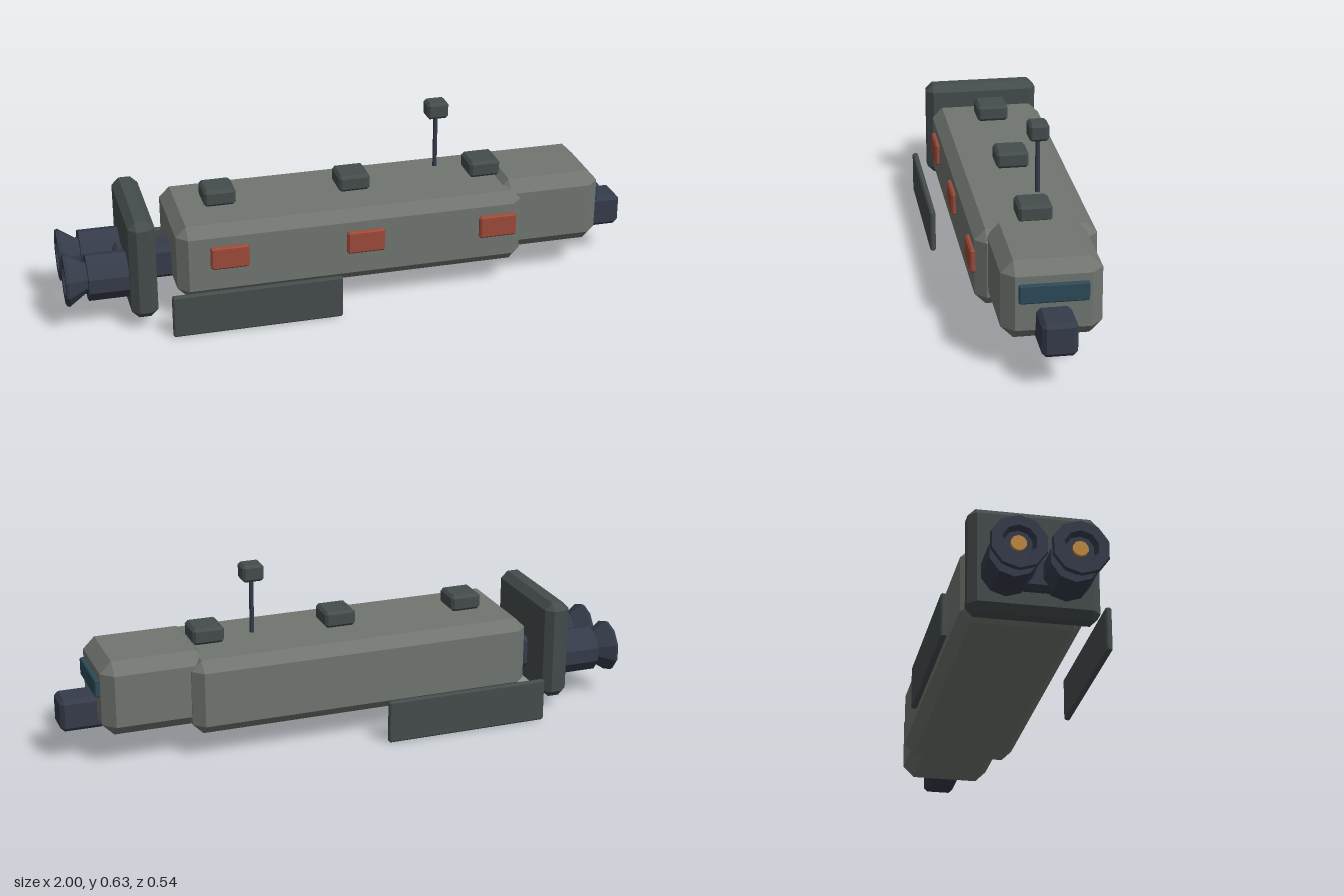
import * as THREE from 'three';
import { ConvexGeometry } from 'three/addons/geometries/ConvexGeometry.js';

const paint = (color) => new THREE.MeshStandardMaterial({ color, flatShading: true });
const HULL = paint(0x707570);
const DARK = paint(0x454c4c);
const STEEL = paint(0x353b4a);
const ORANGE = paint(0x9c4a38);
const GLASS = paint(0x2b4a57);
const GLOW = paint(0xc08a40);

// Box with chamfered edges, given its limits on each axis
function chamferBox(name, material, [x0, x1], [y0, y1], [z0, z1], bevel) {
  const half = [(x1 - x0) / 2, (y1 - y0) / 2, (z1 - z0) / 2];
  const points = [];
  for (const sx of [-1, 1]) for (const sy of [-1, 1]) for (const sz of [-1, 1]) {
    for (let axis = 0; axis < 3; axis++) {
      const p = half.map((h, i) => (i === axis ? h : h - bevel));
      points.push(new THREE.Vector3(sx * p[0], sy * p[1], sz * p[2]));
    }
  }
  const mesh = new THREE.Mesh(new ConvexGeometry(points), material);
  mesh.position.set((x0 + x1) / 2, (y0 + y1) / 2, (z0 + z1) / 2);
  mesh.name = name;
  return mesh;
}

// Ten-sided turned part whose axis runs toward the stern (-x)
function turned(name, material, profile) {
  const geometry = new THREE.LatheGeometry(profile.map(([r, d]) => new THREE.Vector2(r, d)), 10);
  geometry.rotateY(Math.PI / 2).rotateZ(Math.PI / 2);
  const mesh = new THREE.Mesh(geometry, material);
  mesh.name = name;
  return mesh;
}

function createEngine() {
  const engine = new THREE.Group();
  engine.name = 'engine';
  engine.add(
    turned('engineBody', STEEL, [[0, 0.78], [0.08, 0.78], [0.08, 0.925], [0, 0.925]]),
    turned('engineNozzle', STEEL, [[0.055, 0.91], [0.055, 0.935], [0.092, 0.99], [0.088, 1], [0.055, 1], [0.045, 0.98], [0, 0.98]]),
    turned('engineGlow', GLOW, [[0.025, 0.975], [0.025, 0.99], [0, 0.99]]),
  );
  return engine;
}

export function createModel() {
  const ship = new THREE.Group();
  ship.name = 'ship';

  // Hull, cabin and spine
  ship.add(
    chamferBox('mainHull', HULL, [-0.63, 0.58], [0.09, 0.352], [-0.2, 0.2], 0.036),
    chamferBox('cabin', HULL, [0.51, 0.877], [0.112, 0.373], [-0.16, 0.16], 0.04),
    chamferBox('cabinWindow', GLASS, [0.875, 0.893], [0.247, 0.309], [-0.11, 0.11], 0.004),
    chamferBox('nose', STEEL, [0.83, 1], [0.113, 0.226], [-0.056, 0.056], 0.014),
    chamferBox('rearSpine', STEEL, [-0.82, -0.58], [0.113, 0.226], [-0.056, 0.056], 0.014),
    chamferBox('rearBulkhead', DARK, [-0.79, -0.7], [0.045, 0.398], [-0.208, 0.208], 0.025),
  );

  // Roof boxes and the hatches on the front side
  for (const x of [-0.455, 0.015, 0.485]) {
    ship.add(
      chamferBox('roofBox', DARK, [x - 0.055, x + 0.055], [0.36, 0.418], [-0.056, 0.056], 0.01),
      chamferBox('sideHatch', ORANGE, [x - 0.066, x + 0.066], [0.203, 0.284], [0.195, 0.215], 0.006),
    );
  }

  // Side panels and twin engines
  for (const side of [-1, 1]) {
    const z = side * 0.262;
    ship.add(chamferBox('sidePanel', DARK, [-0.665, -0.083], [0, 0.15], [z - 0.01, z + 0.01], 0.005));
    const engine = createEngine();
    engine.position.set(0, 0.172, side * 0.094);
    ship.add(engine);
  }

  // Sensor mast
  const mast = new THREE.Mesh(new THREE.CylinderGeometry(0.008, 0.008, 0.2, 8), STEEL);
  mast.position.set(0.33, 0.48, -0.041);
  mast.name = 'sensorMast';
  ship.add(mast, chamferBox('sensorHead', DARK, [0.293, 0.368], [0.568, 0.627], [-0.074, -0.008], 0.009));

  return ship;
}
